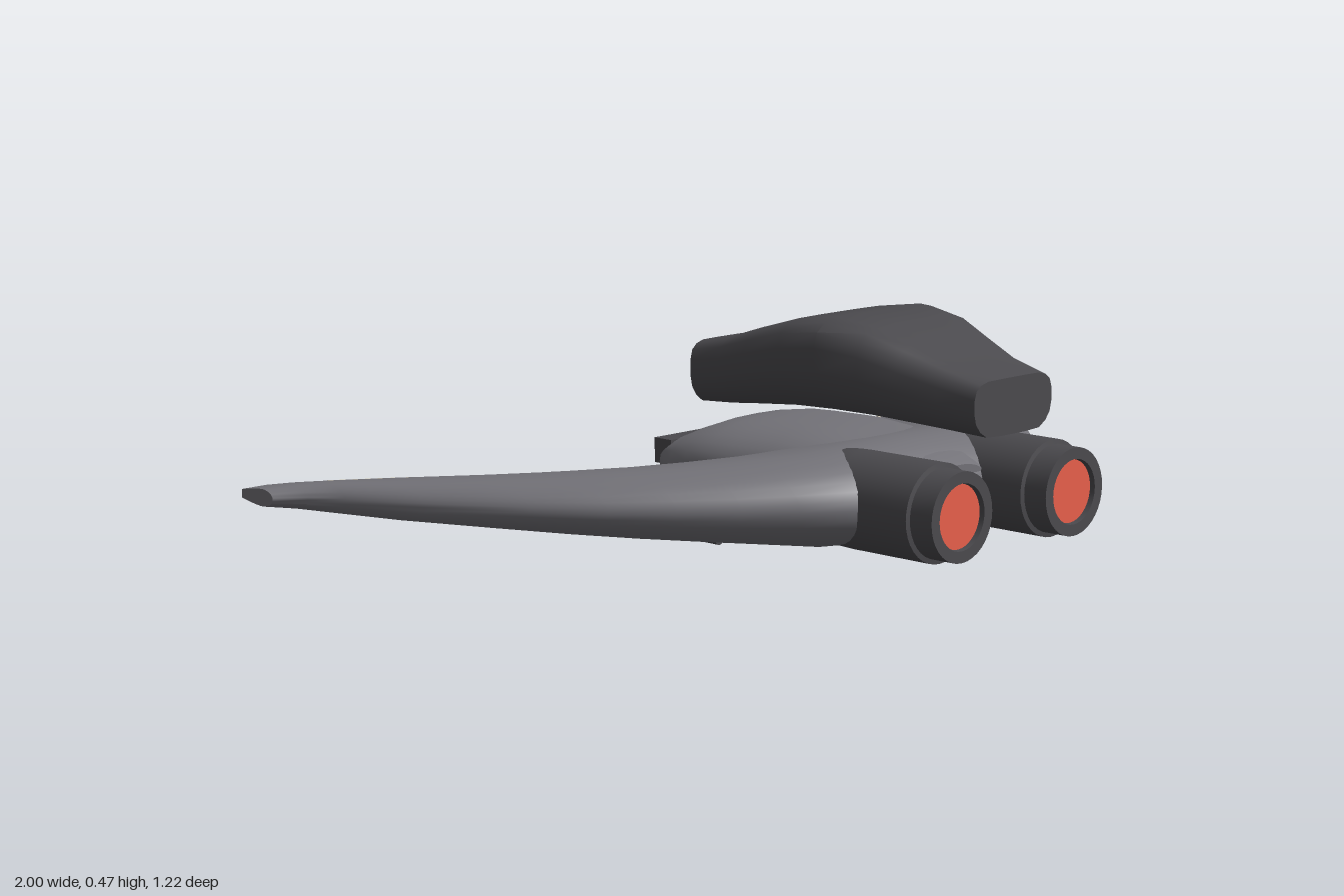
import * as THREE from 'three';
import { toCreasedNormals } from 'three/addons/utils/BufferGeometryUtils.js';

const paint = (color) => new THREE.MeshStandardMaterial({ color });
const hullGrey = paint(0x737278);
const darkGrey = paint(0x4b4a4e);
const glowRed = paint(0xe8604c);
const beige = paint(0xd2cab8);

// Skin a row of equal-length closed rings of [x, y, z] and cap both ends.
function loft(rings, crease = 0.7) {
  const n = rings[0].length;
  const pos = rings.flat(2);
  let idx = [];
  for (let i = 0; i < rings.length - 1; i++) {
    for (let j = 0; j < n; j++) {
      const a = i * n + j, b = i * n + (j + 1) % n;
      idx.push(a, b, a + n, b, b + n, a + n);
    }
  }
  [0, rings.length - 1].forEach((r, end) => {
    const c = pos.length / 3;
    for (let k = 0; k < 3; k++) pos.push(rings[r].reduce((s, p) => s + p[k], 0) / n);
    for (let j = 0; j < n; j++) {
      const a = r * n + j, b = r * n + (j + 1) % n;
      idx.push(...(end ? [c, a, b] : [c, b, a]));
    }
  });
  // Turn the faces outward if the enclosed volume comes out negative.
  const v = (i) => new THREE.Vector3().fromArray(pos, i * 3);
  let volume = 0;
  for (let i = 0; i < idx.length; i += 3) {
    volume += v(idx[i]).dot(v(idx[i + 1]).cross(v(idx[i + 2])));
  }
  if (volume < 0) idx = idx.reverse();
  const g = new THREE.BufferGeometry();
  g.setAttribute('position', new THREE.Float32BufferAttribute(pos, 3));
  g.setIndex(idx);
  return toCreasedNormals(g, crease);
}

function add(parent, name, geometry, material, x = 0, y = 0, z = 0) {
  const m = new THREE.Mesh(geometry, material);
  m.name = name;
  m.position.set(x, y, z);
  parent.add(m);
  return m;
}

// Wing stations: x, leading z, trailing z, half thickness, blunt tail fraction
const WING = [
  [0, 0.45, -0.03, 0.1, 0.36], [0.16, 0.45, -0.01, 0.1, 0.36],
  [0.27, 0.43, -0.04, 0.094, 0.36], [0.37, 0.355, -0.105, 0.083, 0.36],
  [0.46, 0.28, -0.17, 0.074, 0.36], [0.55, 0.19, -0.25, 0.066, 0.36],
  [0.64, 0.09, -0.34, 0.057, 0.36], [0.73, -0.04, -0.43, 0.048, 0.38],
  [0.84, -0.23, -0.525, 0.038, 0.4], [0.91, -0.39, -0.575, 0.03, 0.45],
  [0.95, -0.46, -0.597, 0.024, 0.5], [1, -0.51, -0.61, 0.018, 0.5],
];
const WING_Y = 0.12;

function wingRing([x, lead, trail, h, tail], side) {
  const half = [];
  for (let i = 0; i <= 12; i++) {
    const u = (i / 12) ** 2;
    const t = u < 0.35
      ? Math.sqrt(1 - ((0.35 - u) / 0.35) ** 2)
      : 1 - (1 - tail) * ((u - 0.35) / 0.65) ** 1.4;
    half.push([lead + (trail - lead) * u, h * t]);
  }
  const top = half.map(([z, y]) => [side * x, WING_Y + y, z]);
  const bottom = half.slice(1).reverse().map(([z, y]) => [side * x, WING_Y - y, z]);
  return [...top, ...bottom];
}

// Rectangular trim strip along the blunt trailing edge
function trimRing([x, , trail, h, tail], side) {
  const y = h * tail * 0.95;
  return [[-y, 0.01], [y, 0.01], [y, -0.008], [-y, -0.008]]
    .map(([dy, dz]) => [side * x, WING_Y + dy, trail + dz]);
}

// Fuselage stations: z, half width, bottom, top
const BODY = [
  [0.44, 0.1, 0.06, 0.175], [0.4, 0.14, 0.04, 0.195], [0.3, 0.19, 0.02, 0.21],
  [0.2, 0.21, 0.009, 0.225], [0.1, 0.222, 0.004, 0.231], [0, 0.23, 0.006, 0.228],
  [-0.06, 0.23, 0.009, 0.225], [-0.12, 0.225, 0.014, 0.216], [-0.18, 0.208, 0.03, 0.195],
  [-0.23, 0.175, 0.048, 0.175], [-0.27, 0.145, 0.065, 0.16],
];

function bodyRing([z, w, lo, hi]) {
  const ring = [], p = 0.75;
  for (let i = 0; i < 32; i++) {
    const a = (i / 32) * Math.PI * 2, c = Math.cos(a), s = Math.sin(a);
    ring.push([w * Math.sign(c) * Math.abs(c) ** p,
      (lo + hi) / 2 + (hi - lo) / 2 * Math.sign(s) * Math.abs(s) ** p, z]);
  }
  return ring;
}

// Upper pod stations: z, half width, bottom, top
const POD = [
  [0.59, 0.12, 0.26, 0.375], [0.5, 0.13, 0.265, 0.398], [0.41, 0.157, 0.272, 0.43],
  [0.33, 0.18, 0.278, 0.46], [0.23, 0.198, 0.28, 0.475], [0.12, 0.188, 0.275, 0.46],
  [0, 0.162, 0.262, 0.427], [-0.1, 0.138, 0.25, 0.397], [-0.21, 0.11, 0.24, 0.375],
];
const POD_HALF = [[0.3, 1], [0.65, 0.995], [0.83, 0.95], [0.95, 0.86], [1, 0.7],
  [1, 0.45], [0.96, 0.28], [0.85, 0.13], [0.68, 0.02], [0.3, 0]];

function podRing([z, w, lo, hi]) {
  const right = POD_HALF.map(([x, y]) => [x * w, lo + y * (hi - lo), z]);
  const left = right.map(([x, y]) => [-x, y, z]).reverse();
  return [...right, ...left];
}

// Engine along z: housing, stepped nozzle with open rim, glowing disc
function engine(side) {
  const g = new THREE.Group();
  g.name = side > 0 ? 'leftEngine' : 'rightEngine';
  const profile = [[0, 0.2], [0.075, 0.22], [0.1, 0.3], [0.102, 0.35], [0.102, 0.55],
    [0.092, 0.552], [0.092, 0.608], [0.068, 0.608], [0.066, 0.585], [0, 0.585]];
  const housing = new THREE.LatheGeometry(profile.map((p) => new THREE.Vector2(...p)), 36);
  housing.rotateX(Math.PI / 2);
  add(g, 'engineHousing', toCreasedNormals(housing, 0.6), darkGrey);
  const disc = new THREE.CircleGeometry(0.066, 36);
  add(g, 'engineGlow', disc, glowRed, 0, 0, 0.597);
  g.position.set(side * 0.176, 0.118, 0);
  return g;
}

// Small cannon slung under the wing
function cannon(side) {
  const g = new THREE.Group();
  g.name = side > 0 ? 'leftCannon' : 'rightCannon';
  const barrel = new THREE.CylinderGeometry(0.012, 0.012, 0.2, 16).rotateX(Math.PI / 2);
  add(g, 'cannonBarrel', barrel, darkGrey, 0, 0, 0.04);
  const tip = new THREE.CylinderGeometry(0.015, 0.015, 0.03, 16).rotateX(Math.PI / 2);
  add(g, 'cannonTip', tip, darkGrey, 0, 0, -0.055);
  add(g, 'cannonMount', new THREE.BoxGeometry(0.014, 0.04, 0.1), darkGrey, 0, 0.018, 0.07);
  g.position.set(side * 0.38, 0.038, 0);
  return g;
}

// Wide slot at the tail: a four-sided frame around a glowing bar
function tailSlot() {
  const g = new THREE.Group();
  g.name = 'tailSlot';
  for (const s of [-1, 1]) {
    add(g, 'slotLip', new THREE.BoxGeometry(0.29, 0.01, 0.05), darkGrey, 0, s * 0.022, 0);
    add(g, 'slotEnd', new THREE.BoxGeometry(0.012, 0.05, 0.05), darkGrey, s * 0.139, 0, 0);
  }
  add(g, 'slotGlow', new THREE.BoxGeometry(0.27, 0.036, 0.04), glowRed, 0, 0, 0.002);
  g.position.set(0, 0.135, -0.26);
  return g;
}

export function createModel() {
  const model = new THREE.Group();
  model.name = 'aircraft';
  add(model, 'fuselage', loft(BODY.map(bodyRing)), hullGrey);
  add(model, 'upperPod', loft(POD.map(podRing)), darkGrey);
  model.add(tailSlot());
  for (const side of [1, -1]) {
    const word = side > 0 ? 'left' : 'right';
    add(model, word + 'Wing', loft(WING.map((s) => wingRing(s, side))), hullGrey);
    add(model, word + 'WingTrim', loft(WING.slice(2, 9).map((s) => trimRing(s, side))), beige);
    model.add(engine(side), cannon(side));
  }
  return model;
}
